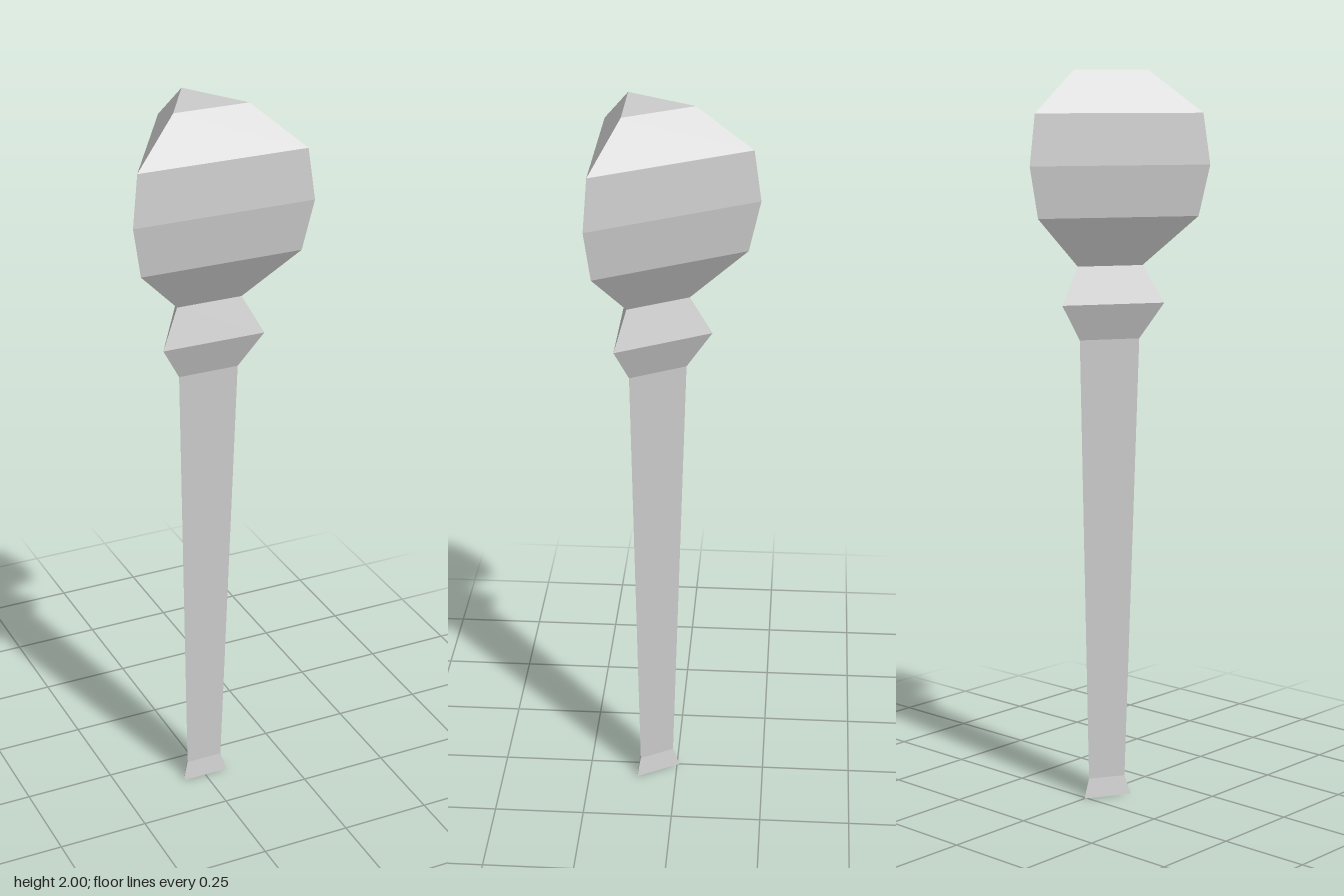
import * as THREE from 'three';

// Each part is a stack of triangular rings: [half-width, height], bottom to top.
const PARTS = {
  footFlare: [[0, 0], [0.068, 0], [0.052, 0.053]],
  shaft: [[0.052, 0.053], [0.084, 1.286]],
  collar: [[0.084, 1.286], [0.143, 1.384], [0.091, 1.484]],
  head: [[0.091, 1.484], [0.222, 1.617], [0.248, 1.753], [0.231, 1.888], [0.103, 2], [0, 2]],
};

export function createModel() {
  const group = new THREE.Group();
  const material = new THREE.MeshStandardMaterial({ color: 0xcccccc, flatShading: true });
  const toRadius = 1 / Math.sin(Math.PI / 3);

  for (const [name, rings] of Object.entries(PARTS)) {
    const profile = rings.map(([half, y]) => new THREE.Vector2(half * toRadius, y));
    // Three sides, with one corner pointing to the back and a flat face to the front
    const mesh = new THREE.Mesh(new THREE.LatheGeometry(profile, 3, Math.PI), material);
    mesh.name = name;
    mesh.position.z = 0.072; // the triangle's centroid lies ahead of its middle
    group.add(mesh);
  }
  return group;
}
